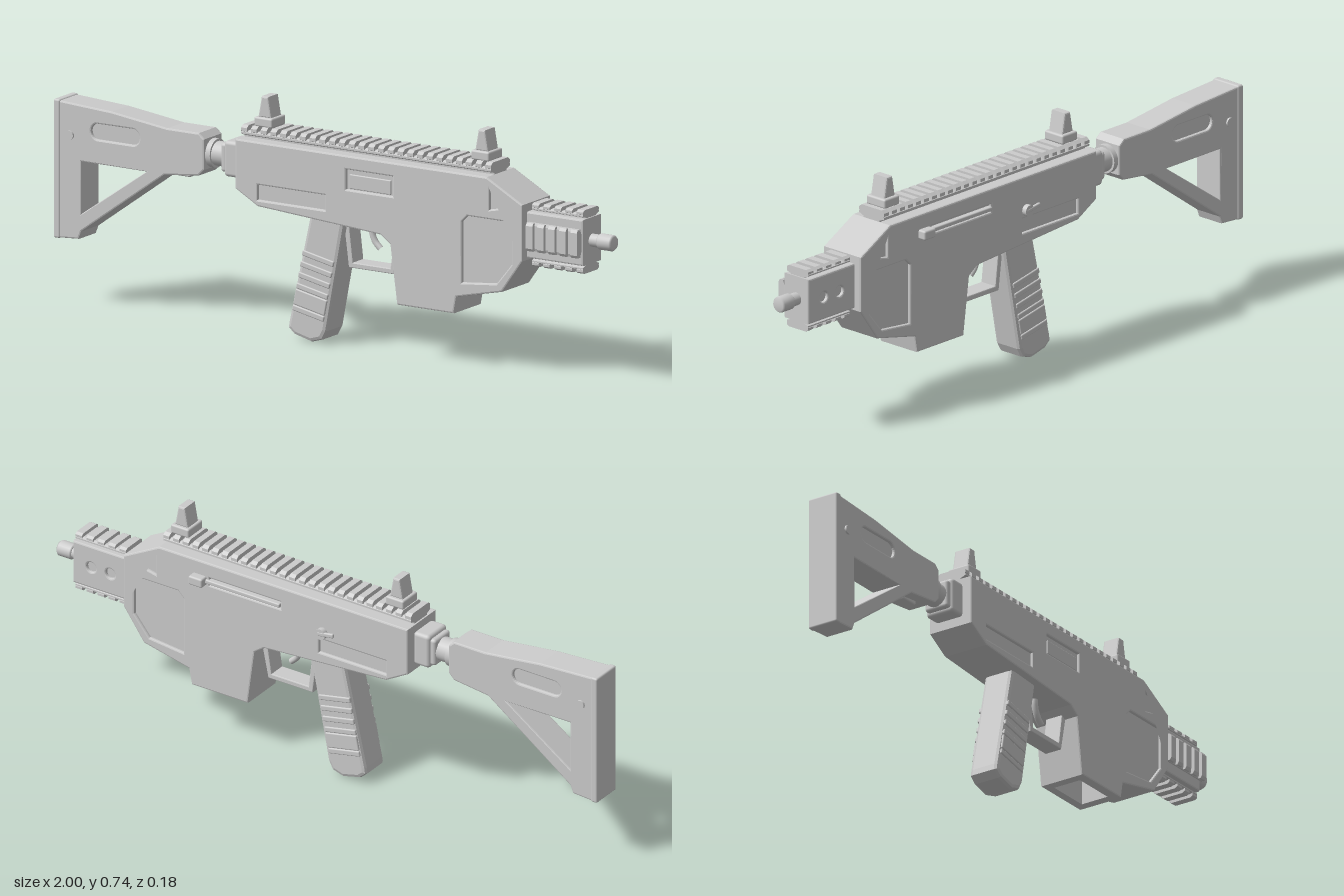
import * as THREE from 'three';
import { RoundedBoxGeometry } from 'three/addons/geometries/RoundedBoxGeometry.js';

const MID = 0.0145; // z of the centre plane
const material = new THREE.MeshStandardMaterial({ color: 0xcccccc });

function mesh(name, geometry, x = 0, y = 0, z = 0) {
  const m = new THREE.Mesh(geometry, material);
  m.name = name;
  m.position.set(x, y, z);
  return m;
}

const block = (name, w, h, d, x, y, z = MID, r = 0.006) =>
  mesh(name, new RoundedBoxGeometry(w, h, d, 2, r), x, y, z);

// Cylinder along x (default) or z
function rod(name, r, length, x, y, z = MID, axis = 'x') {
  const g = new THREE.CylinderGeometry(r, r, length, 24);
  if (axis === 'x') g.rotateZ(Math.PI / 2);
  else g.rotateX(Math.PI / 2);
  return mesh(name, g, x, y, z);
}

const points = (list) => list.map(([x, y]) => new THREE.Vector2(x, y));
const rect = (x0, x1, y0, y1) => [[x0, y0], [x1, y0], [x1, y1], [x0, y1]];

// Slot with round ends; a circle when both centres agree
function capsule(x0, x1, y, r) {
  const out = [];
  for (let i = 0; i <= 24; i++) {
    const a = -Math.PI / 2 + (i / 24) * Math.PI * 2;
    const cx = i <= 12 ? x1 : x0;
    if (i < 24 || x0 !== x1) out.push([cx + Math.cos(a) * r, y + Math.sin(a) * r]);
  }
  return out;
}

// Outline extruded from z0 to z1, its bevel kept inside the outline
function slab(name, outline, holes, z0, z1, bevel = 0) {
  const shape = new THREE.Shape(points(outline));
  holes.forEach((h) => shape.holes.push(new THREE.Path(points(h))));
  const g = new THREE.ExtrudeGeometry(shape, {
    depth: z1 - z0 - 2 * bevel, bevelEnabled: bevel > 0, bevelSize: bevel,
    bevelThickness: bevel, bevelOffset: -bevel, bevelSegments: 2,
  });
  g.translate(0, 0, z0 + bevel);
  return mesh(name, g);
}

// Body with sunken panels on its left (+z) and right (-z) side
function panelled(name, { outline, core = outline, through = [], left = [], right = [], z0, z1, depth = 0.01, bevel = 0.005 }) {
  const group = new THREE.Group();
  group.name = name;
  const skin = depth + bevel, wall = 0.03;
  group.add(
    slab('leftSkin', outline, [...through, ...left], z1 - skin, z1, bevel),
    slab('rightSkin', outline, [...through, ...right], z0, z0 + skin, bevel),
    slab('leftWall', outline, through, z1 - wall, z1 - depth),
    slab('rightWall', outline, through, z0 + depth, z0 + wall),
    slab('core', core, through, z0 + wall, z1 - wall),
  );
  return group;
}

// Slotted rail along x, standing on y = 0
function rail(name, length, count, half, height) {
  const group = new THREE.Group();
  group.name = name;
  const profile = (h) => new THREE.Shape(points([
    [-half * 0.65, 0], [half * 0.65, 0], [half * 0.65, h * 0.25], [half, h * 0.55], [half, h * 0.8],
    [half * 0.8, h], [-half * 0.8, h], [-half, h * 0.8], [-half, h * 0.55], [-half * 0.65, h * 0.25],
  ]));
  const run = (len, h) => new THREE.ExtrudeGeometry(profile(h), { depth: len, bevelEnabled: false })
    .translate(0, 0, -len / 2).rotateY(Math.PI / 2);
  group.add(mesh('railBase', run(length, height * 0.6)));
  const pitch = length / (count - 0.4);
  const tooth = run(pitch * 0.6, height);
  for (let i = 0; i < count; i++)
    group.add(mesh('railTooth', tooth, -length / 2 + pitch * (i + 0.3)));
  return group;
}

function sight(name, x) {
  const group = new THREE.Group();
  group.name = name;
  group.add(block('sightBase', 0.066, 0.03, 0.078, x, 0.657));
  const tower = [[-0.024, 0.67], [0.024, 0.67], [0.012, 0.736], [-0.012, 0.736]].map(([a, b]) => [a + x, b]);
  group.add(slab('sightTower', tower, [], MID - 0.029, MID + 0.029, 0.005));
  return group;
}

export function createModel() {
  const model = new THREE.Group();
  const add = (...parts) => model.add(...parts);

  // Receiver, with an open well underneath
  const upper = [[-0.325, 0.45], [-0.245, 0.405], [0.05, 0.385], [0.2, 0.375], [0.235, 0.35], [0.26, 0.165]];
  const nose = [[0.465, 0.165], [0.475, 0.218], [0.64, 0.255], [0.715, 0.36], [0.715, 0.535], [0.585, 0.605], [-0.325, 0.605]];
  const well = [[0.29, 0.165], [0.29, 0.33], [0.435, 0.33], [0.435, 0.165]];
  const panels = [
    rect(-0.245, 0.0, 0.425, 0.472),
    [[0.262, 0.225], [0.443, 0.232], [0.443, 0.327], [0.275, 0.327]],
    [[0.495, 0.265], [0.62, 0.278], [0.675, 0.345], [0.675, 0.475], [0.515, 0.475], [0.495, 0.455]],
    [[0.595, 0.505], [0.685, 0.525], [0.685, 0.54], [0.595, 0.572]],
  ];
  add(panelled('receiver', {
    outline: [...upper, ...nose], core: [...upper, ...well, ...nose],
    left: [...panels, rect(0.075, 0.245, 0.5, 0.562)],
    right: [...panels, rect(0.14, 0.4, 0.53, 0.555)],
    z0: -0.063, z1: 0.092,
  }));
  add(block('boltCover', 0.15, 0.045, 0.012, 0.16, 0.525, 0.081, 0.003));

  // Controls on the right side
  add(block('chargingRod', 0.29, 0.014, 0.02, 0.285, 0.543, -0.06, 0.004));
  add(block('chargingHandle', 0.05, 0.03, 0.034, 0.435, 0.543, -0.073));
  add(rod('selectorPivot', 0.018, 0.03, -0.015, 0.498, -0.064, 'z'));
  const lever = block('selectorLever', 0.06, 0.014, 0.01, -0.033, 0.502, -0.075, 0.004);
  lever.rotation.z = -0.15;
  add(lever);

  // Top rail and sights
  const topRail = rail('topRail', 0.905, 26, 0.052, 0.04);
  topRail.position.set(0.1325, 0.604, MID);
  add(topRail, sight('rearSight', -0.25), sight('frontSight', 0.535));

  // Handguard with three rails, and two bores on the right side
  add(panelled('handguard', {
    outline: rect(0.71, 0.917, 0.366, 0.51),
    right: [0.78, 0.85].map((x) => capsule(x, x, 0.438, 0.017)),
    z0: -0.037, z1: 0.066,
  }));
  [['Upper', 0.508, MID, 0], ['Side', 0.438, 0.064, Math.PI / 2], ['Lower', 0.368, MID, Math.PI]].forEach(([n, y, z, turn]) => {
    const r = rail('handguardRail' + n, 0.185, 5, 0.044, 0.029);
    r.position.set(0.82, y, z);
    r.rotation.x = turn;
    add(r);
  });

  // Barrel
  add(rod('barrel', 0.02, 0.06, 0.935, 0.438));
  const muzzle = [[0, 0], [0.02, 0], [0.025, 0.005], [0.025, 0.048], [0.02, 0.054], [0, 0.054]];
  const tip = mesh('muzzle', new THREE.LatheGeometry(points(muzzle), 24), 0.944, 0.438, MID);
  tip.rotation.z = -Math.PI / 2;
  add(tip);

  // Grip with side ridges and a pad
  add(slab('grip', [
    [-0.07, 0.41], [0.055, 0.41], [0.045, 0.355], [-0.015, 0.04], [-0.03, 0.012], [-0.07, 0.0],
    [-0.13, 0.015], [-0.153, 0.035], [-0.15, 0.055],
  ], [], -0.037, 0.066, 0.012));
  for (let i = 0; i < 6; i++) {
    const y = 0.09 + i * 0.035;
    const ridge = block('gripRidge', 0.116, i === 1 ? 0.05 : 0.018, 0.111, -0.088 + (y - 0.03) * 0.2, y, MID, 0.004);
    ridge.rotation.z = -0.2;
    add(ridge);
  }

  // Trigger and guard
  add(slab('triggerGuard', [[0.035, 0.4], [0.055, 0.245], [0.217, 0.245], [0.245, 0.38], [0.23, 0.4]],
    [[[0.055, 0.39], [0.07, 0.262], [0.205, 0.262], [0.225, 0.39]]], MID - 0.03, MID + 0.03, 0.003));
  const curve = new THREE.CatmullRomCurve3([[0.118, 0.4], [0.12, 0.36], [0.132, 0.33], [0.152, 0.31]]
    .map(([x, y]) => new THREE.Vector3(x, y, MID)));
  add(mesh('trigger', new THREE.TubeGeometry(curve, 16, 0.01, 10)));

  // Stock joint
  add(block('stockMount', 0.06, 0.112, 0.1, -0.355, 0.53, MID, 0.012));
  add(block('stockCollar', 0.025, 0.09, 0.085, -0.39, 0.53, MID, 0.01));
  add(rod('stockTube', 0.038, 0.13, -0.43, 0.53));
  add(rod('stockTubeRing', 0.045, 0.02, -0.448, 0.53));

  // Open-frame stock
  const slot = [capsule(-0.84, -0.715, 0.553, 0.025)];
  add(panelled('stock', {
    outline: [
      [-0.985, 0.205], [-0.91, 0.21], [-0.9, 0.235], [-0.6, 0.45], [-0.475, 0.465], [-0.455, 0.485],
      [-0.455, 0.58], [-0.475, 0.597], [-0.59, 0.597], [-0.79, 0.622], [-0.985, 0.633],
    ],
    through: [[[-0.9, 0.29], [-0.665, 0.452], [-0.9, 0.452]]],
    left: slot, right: slot, z0: MID - 0.05, z1: MID + 0.05,
  }));
  add(block('buttPlate', 0.024, 0.432, 0.106, -0.988, 0.42));
  add(rod('stockPin', 0.014, 0.112, -0.94, 0.53, MID, 'z'));
  add(block('stockLatch', 0.065, 0.02, 0.03, -0.56, 0.455));
  return model;
}
